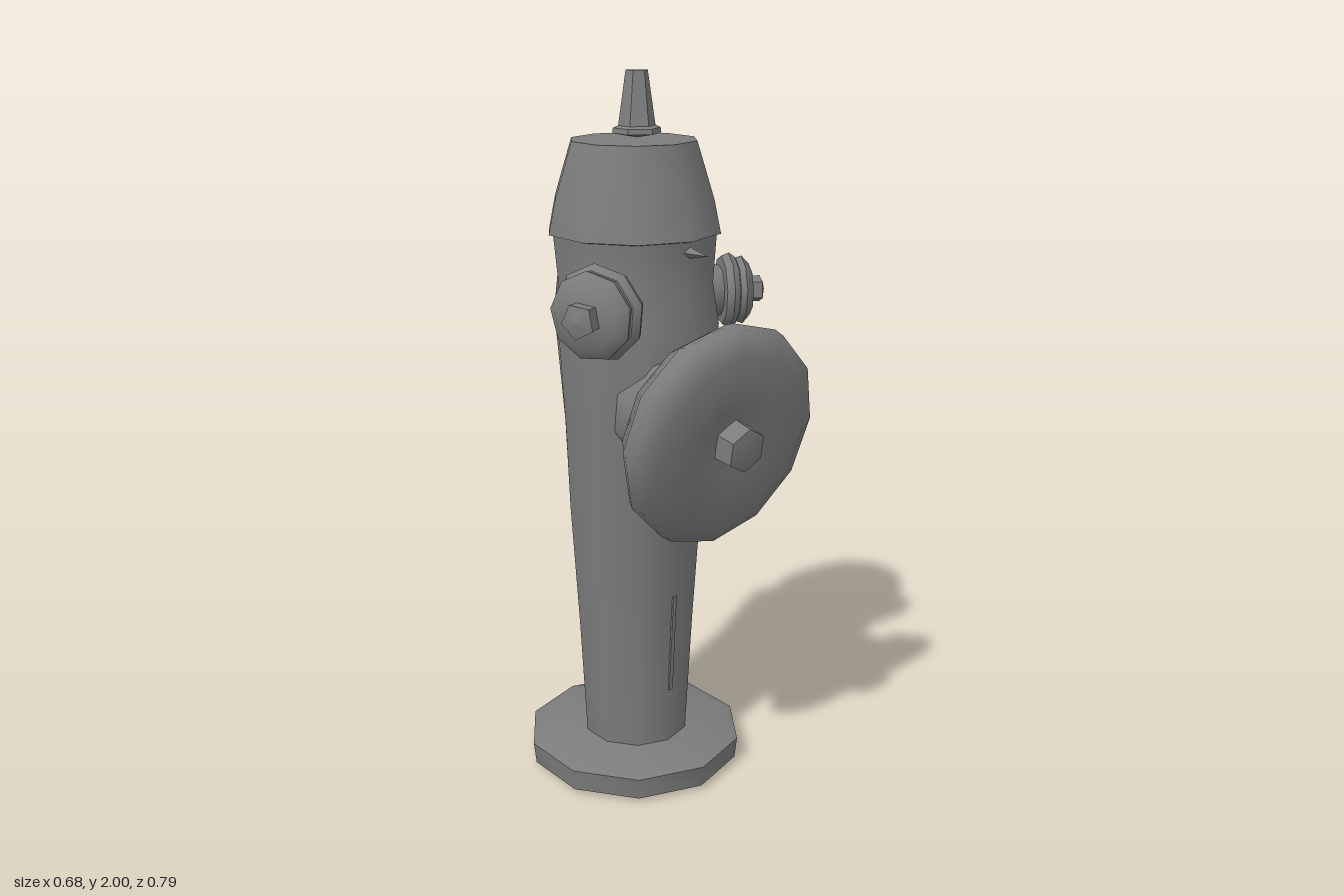
import * as THREE from 'three';
import { toCreasedNormals } from 'three/addons/utils/BufferGeometryUtils.js';

const iron = new THREE.MeshStandardMaterial({ color: 0x7c7c7c });
iron.name = 'cast iron grey';
const AXIS_Z = -0.08; // upright axis of the barrel

// Low-poly turned part: profile is [radius, height] from bottom to top
function turned(profile, sides, crease = 0.85, rule) {
  const points = profile.map(([r, y]) => new THREE.Vector2(r, y));
  const geo = new THREE.LatheGeometry(points, sides);
  if (rule) {
    const p = geo.attributes.position, v = new THREE.Vector3();
    for (let i = 0; i < p.count; i++) {
      v.fromBufferAttribute(p, i);
      rule(v);
      p.setXYZ(i, v.x, v.y, v.z);
    }
  }
  return toCreasedNormals(geo, crease);
}

function part(name, geo, parent, x = 0, y = 0, z = 0) {
  const mesh = new THREE.Mesh(geo, iron);
  mesh.name = name;
  mesh.position.set(x, y, z);
  parent.add(mesh);
  return mesh;
}

// Group whose local y axis points along dir
function outlet(name, parent, pos, dir, scale = 1) {
  const g = new THREE.Group();
  g.name = name;
  g.position.set(...pos);
  g.quaternion.setFromUnitVectors(new THREE.Vector3(0, 1, 0), new THREE.Vector3(...dir).normalize());
  g.scale.setScalar(scale);
  parent.add(g);
  return g;
}

export function createModel() {
  const model = new THREE.Group();
  model.name = 'hydrant';

  // Foot flange
  part('baseFlange', turned([[0, 0], [0.16, 0], [0.31, 0.012], [0.317, 0.075], [0.28, 0.09], [0, 0.09]], 10),
    model, 0, 0, AXIS_Z);

  // Tapering barrel, swollen towards the front outlet and ridged at the back
  part('barrel', turned([[0.153, 0.08], [0.172, 0.45], [0.194, 0.8], [0.212, 1.05], [0.23, 1.34],
    [0.226, 1.45], [0.23, 1.59]], 10, 0.85, (v) => {
    const r = Math.hypot(v.x, v.z);
    const front = Math.max(0, v.z / r), back = Math.max(0, -v.z / r);
    if (v.y > 1 && v.y < 1.4) v.z += 0.025 * front;
    if (v.y > 1.3 && v.y < 1.4) v.z -= 0.05 * back ** 6;
    if (v.y > 1 && v.y < 1.5) v.x *= 0.95;
  }), model, 0.005, 0, AXIS_Z);

  // Bonnet with a flat top
  part('bonnet', turned([[0.222, 1.575], [0.241, 1.58], [0.222, 1.67], [0.174, 1.822], [0, 1.826]], 10, 1.0),
    model, 0.005, 0, AXIS_Z);

  // Operating nut, pinched to a narrow ridge at the tip
  part('topNut', turned([[0, 1.826], [0.066, 1.838], [0.064, 1.852], [0.05, 1.858], [0.03, 2], [0, 2]], 6, 0.5, (v) => {
    if (v.y > 1.9) {
      const across = (v.x - v.z) / 2 * 0.55;
      v.x -= across;
      v.z += across;
    }
  }), model, 0.012, 0, -0.075);

  // Large front outlet, dipping slightly forwards
  const front = outlet('frontOutlet', model, [0.008, 1.085, 0.275], [0, -0.16, 0.987]);
  part('frontNeck', turned([[0.17, -0.27], [0.185, -0.16], [0.21, -0.09]], 10), front);
  part('frontCollar', turned([[0.18, -0.1], [0.255, -0.09], [0.28, -0.055], [0.275, -0.015], [0.2, -0.01]], 12), front);
  part('frontCap', turned([[0.2, -0.035], [0.3, -0.03], [0.312, -0.005], [0.307, 0.03], [0.25, 0.062], [0.1, 0.058], [0, 0.045]], 12, 1.0), front);
  part('frontNut', turned([[0.068, 0.03], [0.062, 0.11], [0, 0.122]], 6, 0.5), front);

  // Two small side outlets, angled forwards
  const sides = [
    ['rightOutlet', [-0.235, 1.405, 0.06], [-0.9, 0, 0.42], 1],
    ['leftOutlet', [0.25, 1.405, 0.055], [0.86, 0, 0.5], 0.8],
  ];
  for (const [name, pos, dir, scale] of sides) {
    const g = outlet(name, model, pos, dir, scale);
    part('sideNeck', turned([[0.1, -0.12], [0.085, -0.04]], 8), g);
    part('sideCollar', turned([[0.07, -0.05], [0.12, -0.045], [0.13, -0.02], [0.115, 0.002], [0.08, 0.005]], 9), g);
    part('sideCap', turned([[0.08, -0.002], [0.112, 0.005], [0.118, 0.025], [0.09, 0.052], [0, 0.058]], 9), g);
    part('sideNut', turned([[0.045, 0.045], [0.048, 0.095], [0, 0.108]], 5, 0.5), g);
  }

  // Pointed lug under the bonnet at the front
  const lug = new THREE.ConeGeometry(0.028, 0.13, 4);
  lug.rotateX(Math.PI / 2);
  part('frontLug', toCreasedNormals(lug, 0.5), model, 0.008, 1.55, 0.155);

  // Thin casting seam at the front and clip at the back
  part('frontSeam', new THREE.BoxGeometry(0.012, 0.3, 0.012), model, 0.005, 0.41, 0.088).rotation.x = 0.055;
  part('backClip', new THREE.BoxGeometry(0.02, 0.17, 0.02), model, 0.005, 0.515, -0.257).rotation.x = -0.06;
  return model;
}
